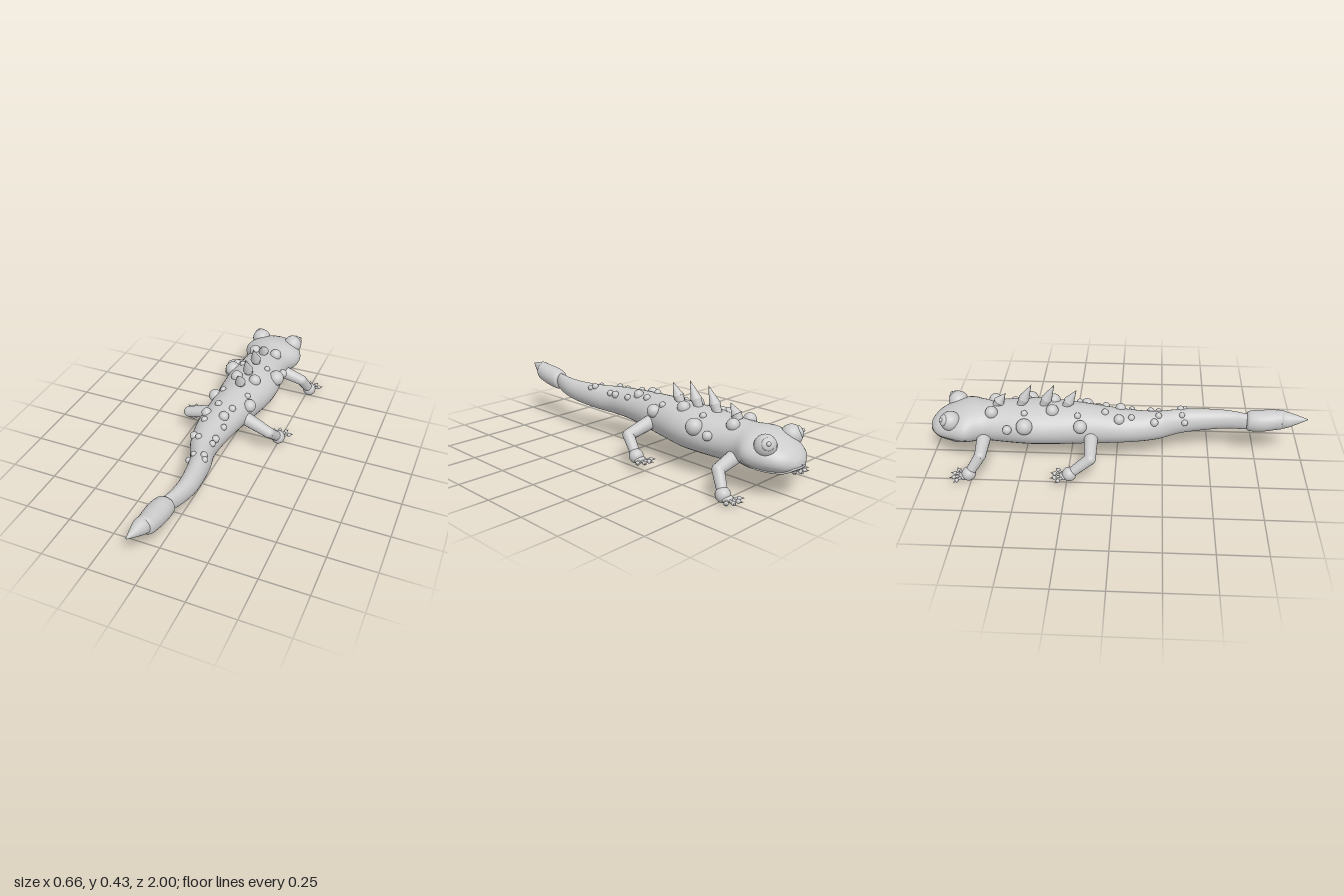
import * as THREE from 'three';

const skin = new THREE.MeshStandardMaterial({ color: 0xcccccc });
skin.name = 'grey skin';
const V = (x, y, z) => new THREE.Vector3(x, y, z);

// Cross-sections: z, centre x, centre y, half width, half height
const BODY = [
  [-1.0, 0.01, 0.175, 0.002, 0.002], [-0.99, 0.01, 0.178, 0.045, 0.028], [-0.95, 0.01, 0.187, 0.105, 0.058],
  [-0.87, 0.012, 0.2, 0.15, 0.086], [-0.79, 0.01, 0.207, 0.168, 0.098], [-0.71, 0.012, 0.206, 0.13, 0.1],
  [-0.63, 0.012, 0.203, 0.128, 0.106], [-0.48, 0.012, 0.206, 0.15, 0.11], [-0.34, 0.01, 0.206, 0.144, 0.11],
  [-0.16, -0.004, 0.21, 0.117, 0.104], [0.05, -0.02, 0.212, 0.096, 0.086], [0.21, -0.01, 0.212, 0.072, 0.077],
  [0.34, 0.03, 0.216, 0.056, 0.068], [0.5, 0.047, 0.222, 0.048, 0.058], [0.61, 0.037, 0.229, 0.038, 0.051],
  [0.69, 0.015, 0.234, 0.028, 0.045], [0.74, 0.01, 0.238, 0.02, 0.03]
];
const BULB = [
  [0.688, 0.015, 0.238, 0.002, 0.002], [0.69, 0.015, 0.238, 0.044, 0.046], [0.72, 0.012, 0.242, 0.055, 0.056],
  [0.77, 0.008, 0.247, 0.058, 0.057], [0.83, 0.006, 0.255, 0.053, 0.054], [0.88, 0.002, 0.262, 0.042, 0.047],
  [0.885, 0.0, 0.262, 0.002, 0.002]
];
const TIP = [
  [0.858, -0.003, 0.263, 0.002, 0.002], [0.86, -0.003, 0.263, 0.038, 0.042], [0.89, -0.008, 0.267, 0.041, 0.044],
  [0.94, -0.015, 0.274, 0.025, 0.026], [0.998, -0.025, 0.283, 0.002, 0.002]
];

// Smooth elliptical loft through the sections
function loft(sections, steps, sides = 32) {
  const mid = new THREE.CatmullRomCurve3(sections.map(s => V(s[1], s[2], s[0])), false, 'catmullrom');
  const size = new THREE.CatmullRomCurve3(sections.map(s => V(s[3], s[4], 0)), false, 'catmullrom');
  const pos = [], idx = [];
  for (let i = 0; i <= steps; i++) {
    const c = mid.getPoint(i / steps), r = size.getPoint(i / steps);
    for (let j = 0; j < sides; j++) {
      const a = (j / sides) * Math.PI * 2;
      pos.push(c.x + Math.max(r.x, 0.001) * Math.cos(a), c.y + Math.max(r.y, 0.001) * Math.sin(a), c.z);
      if (i === steps) continue;
      const k = (j + 1) % sides, p = i * sides;
      idx.push(p + j, p + k, p + sides + j, p + k, p + sides + k, p + sides + j);
    }
  }
  const g = new THREE.BufferGeometry();
  g.setAttribute('position', new THREE.Float32BufferAttribute(pos, 3));
  g.setIndex(idx);
  g.computeVertexNormals();
  return g;
}

// Body section at a given z
function sectionAt(z) {
  let i = 0;
  while (i < BODY.length - 2 && BODY[i + 1][0] < z) i++;
  const t = (z - BODY[i][0]) / (BODY[i + 1][0] - BODY[i][0]);
  return BODY[i].map((v, k) => v + (BODY[i + 1][k] - v) * t);
}

function add(parent, name, geometry) {
  const m = new THREE.Mesh(geometry, skin);
  m.name = name;
  parent.add(m);
  return m;
}

function ball(parent, name, p, r, sx = 1, sy = 1, sz = 1) {
  const m = add(parent, name, new THREE.SphereGeometry(r, 20, 14));
  m.position.copy(p);
  m.scale.set(sx, sy, sz);
  return m;
}

// Tapered rod from a to b
function rod(parent, name, a, b, ra, rb, sides = 16) {
  const d = b.clone().sub(a);
  const m = add(parent, name, new THREE.CylinderGeometry(rb, ra, d.length(), sides));
  m.position.copy(a).addScaledVector(d, 0.5);
  m.quaternion.setFromUnitVectors(V(0, 1, 0), d.normalize());
  return m;
}

function leg(name, shoulder, elbow, wrist) {
  const g = new THREE.Group();
  g.name = name;
  rod(g, 'upperLeg', shoulder, elbow, 0.038, 0.03);
  ball(g, 'elbow', elbow, 0.03);
  rod(g, 'lowerLeg', elbow, wrist, 0.03, 0.025);
  ball(g, 'wrist', wrist, 0.037);
  const palm = wrist.clone().add(V(0, -0.012, -0.024));
  ball(g, 'palm', palm, 0.03, 1, 0.6, 1);
  // Four fanned toes with round tips and claws
  const s = Math.sign(wrist.x);
  for (const deg of [-55, -20, 15, 50]) {
    const a = THREE.MathUtils.degToRad(deg) * s;
    const dir = V(-Math.sin(a), 0, -Math.cos(a));
    const at = d => palm.clone().addScaledVector(dir, d);
    rod(g, 'toe', at(0.01), at(0.055), 0.008, 0.006, 10);
    ball(g, 'toePad', at(0.055), 0.011);
    rod(g, 'claw', at(0.06), at(0.08), 0.007, 0.0005, 10);
  }
  return g;
}

export function createModel() {
  const model = new THREE.Group();
  model.name = 'lizard';
  add(model, 'body', loft(BODY, 112));
  add(model, 'tailBulb', loft(BULB, 36));
  add(model, 'tailTip', loft(TIP, 32));

  // Lip ridge wrapped around the muzzle
  const lip = [[-0.78, 0.178], [-0.83, 0.155], [-0.89, 0.14], [-0.95, 0.143], [-0.985, 0.16]];
  const side = s => lip.map(([z, y]) => {
    const [, cx, cy, w, h] = sectionAt(z);
    return V(cx + s * w * Math.sqrt(Math.max(0.05, 1 - ((y - cy) / h) ** 2)), y, z);
  });
  const lipPath = new THREE.CatmullRomCurve3([...side(-1), V(0.01, 0.163, -0.994), ...side(1).reverse()]);
  add(model, 'lip', new THREE.TubeGeometry(lipPath, 64, 0.007, 8));

  // Eyes with raised lens and pupil
  for (const s of [-1, 1]) {
    const c = V(0.01 + s * 0.1, 0.258, -0.868);
    ball(model, 'eye', c, 0.053);
    const out = V(s * 0.55, 0.45, -0.7).normalize();
    const lens = ball(model, 'iris', c.clone().addScaledVector(out, 0.043), 0.03, 1, 0.5, 1);
    lens.quaternion.setFromUnitVectors(V(0, 1, 0), out);
    ball(model, 'pupil', c.clone().addScaledVector(out, 0.056), 0.011);
  }

  // Back spikes: base z, tip z, base y, tip y
  const spikes = [[-0.64, -0.585, 0.3, 0.375], [-0.51, -0.445, 0.305, 0.432],
    [-0.39, -0.325, 0.305, 0.434], [-0.27, -0.21, 0.305, 0.404]];
  for (const [z0, z1, y0, y1] of spikes) {
    const a = V(0.01, y0, z0), b = V(0.01, y1, z1), m = a.clone().lerp(b, 0.32);
    rod(model, 'spikeBase', a, m, 0.02, 0.027);
    rod(model, 'spike', m, b, 0.029, 0.0005);
  }

  // Warts: x, z, radius, seated on the body surface
  const warts = [
    [-0.053, -0.655, 0.033], [0.074, -0.655, 0.033], [-0.13, -0.565, 0.024], [0.153, -0.565, 0.024],
    [-0.122, -0.475, 0.043], [0.143, -0.475, 0.043], [-0.064, -0.48, 0.017], [0.085, -0.48, 0.017],
    [-0.042, -0.335, 0.033], [0.064, -0.335, 0.033], [-0.11, -0.185, 0.035], [0.1, -0.163, 0.035],
    [-0.068, -0.2, 0.017], [0.074, -0.2, 0.017], [-0.037, -0.058, 0.019], [0.042, -0.058, 0.019],
    [-0.074, 0.016, 0.027], [0.026, 0.02, 0.027], [-0.058, 0.08, 0.017], [0.05, 0.08, 0.017],
    [-0.064, 0.2, 0.021], [-0.028, 0.222, 0.017], [0.047, 0.18, 0.02], [0.047, 0.222, 0.017],
    [0.0, 0.345, 0.015], [-0.02, 0.36, 0.017], [0.053, 0.338, 0.018], [0.066, 0.36, 0.016]
  ];
  for (const [x, z, r] of warts) {
    const [, cx, cy, w, h] = sectionAt(z);
    const u = THREE.MathUtils.clamp((x - cx) / w, -0.95, 0.95);
    ball(model, 'wart', V(x, cy + h * Math.sqrt(1 - u * u), z), r);
  }

  model.add(
    leg('rearRightLeg', V(-0.08, 0.195, -0.13), V(-0.243, 0.15, -0.125), V(-0.266, 0.068, -0.232)),
    leg('rearLeftLeg', V(0.08, 0.195, -0.135), V(0.232, 0.15, -0.115), V(0.26, 0.068, -0.2)),
    leg('frontRightLeg', V(-0.08, 0.165, -0.7), V(-0.215, 0.13, -0.7), V(-0.248, 0.037, -0.762)),
    leg('frontLeftLeg', V(0.1, 0.165, -0.7), V(0.23, 0.13, -0.7), V(0.266, 0.037, -0.762))
  );
  return model;
}
